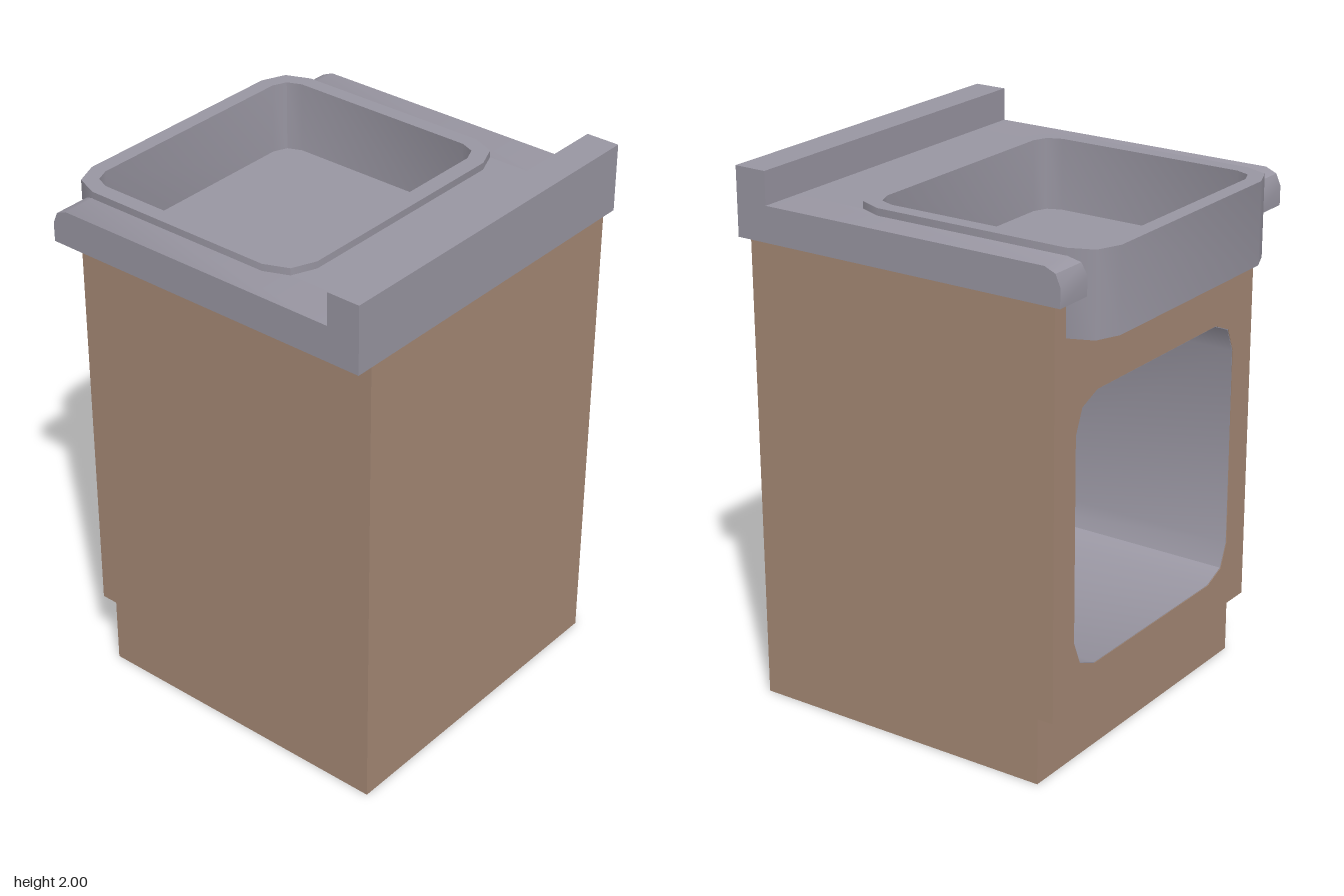
import * as THREE from 'three';
import { toCreasedNormals } from 'three/addons/utils/BufferGeometryUtils.js';

const wood = new THREE.MeshStandardMaterial({ color: 0xa88b77 });
wood.name = 'brown wood';
const steel = new THREE.MeshStandardMaterial({ color: 0x9b98a4 });
steel.name = 'grey steel';

// Rectangle with two-segment rounded corners, as a list of points
function roundedRect(x0, x1, y0, y1, r) {
  const corners = [[x1 - r, y1 - r], [x0 + r, y1 - r], [x0 + r, y0 + r], [x1 - r, y0 + r]];
  const points = [];
  corners.forEach(([cx, cy], i) => {
    for (let k = 0; k < 3; k++) {
      const a = (i + k / 2) * Math.PI / 2;
      points.push(new THREE.Vector2(cx + r * Math.cos(a), cy + r * Math.sin(a)));
    }
  });
  return points;
}

const polygon = (list) => new THREE.Shape(list.map(([x, y]) => new THREE.Vector2(x, y)));

function extrude(shape, depth) {
  return new THREE.ExtrudeGeometry(shape, { depth, bevelEnabled: false });
}

export function createModel() {
  const group = new THREE.Group();

  const add = (name, geometry, material) => {
    const mesh = new THREE.Mesh(toCreasedNormals(geometry, 0.6), material);
    mesh.name = name;
    group.add(mesh);
  };
  const addBox = (name, material, x0, x1, y0, y1, z0, z1) => {
    const g = new THREE.BoxGeometry(x1 - x0, y1 - y0, z1 - z0);
    g.translate((x0 + x1) / 2, (y0 + y1) / 2, (z0 + z1) / 2);
    add(name, g, material);
  };
  // Shape drawn in (z, y), extruded from x0 to x1
  const alongX = (shape, x0, x1) => extrude(shape, x1 - x0).rotateY(-Math.PI / 2).translate(x1, 0, 0);
  // Shape drawn in (x, z), extruded from y0 to y1
  const alongY = (shape, y0, y1) => extrude(shape, y1 - y0).rotateX(-Math.PI / 2).translate(0, y0, 0);

  const back = 0.6875, face = -0.5625, kick = -0.5, side = 0.625, wall = 0.02;
  const counterY = 1.75, basinY = 1.605;

  // Cabinet sides with toe-kick notch
  const sideShape = polygon([[kick, 0], [back, 0], [back, counterY], [face, counterY], [face, 0.25], [kick, 0.25]]);
  for (const z of [-side, side - wall]) {
    add('cabinetSide', extrude(sideShape, wall).translate(0, 0, z), wood);
  }
  const inner = side - wall;
  addBox('cabinetBack', wood, back - wall, back, 0, counterY, -inner, inner);
  addBox('cabinetBottom', wood, kick, back - wall, 0, wall, -inner, inner);
  addBox('toeKick', wood, kick, kick + wall, wall, 0.26, -inner, inner);
  addBox('cabinetLowerEdge', wood, face + 0.01, kick + wall, 0.25, 0.27, -inner, inner);

  // Open cabinet face, notched at the top for the basin
  const faceShape = polygon([
    [-inner, 0.25], [inner, 0.25], [inner, counterY], [0.55, counterY], [0.55, basinY + 0.01],
    [-0.55, basinY + 0.01], [-0.55, counterY], [-inner, counterY],
  ]);
  faceShape.holes.push(new THREE.Path(roundedRect(-0.5, 0.5, 0.375, 1.375, 0.125)));
  add('cabinetFace', alongX(faceShape, face, face + 0.01), wood);

  // Grey lined compartment
  const liner = new THREE.Shape(roundedRect(-0.52, 0.52, 0.355, 1.395, 0.14));
  liner.holes.push(new THREE.Path(roundedRect(-0.498, 0.498, 0.377, 1.373, 0.125)));
  add('compartmentLining', alongX(liner, face + 0.002, 0.56), steel);
  addBox('compartmentBack', steel, 0.56, 0.58, 0.355, 1.395, -0.52, 0.52);

  // Countertop: two end strips and a rear piece around the basin
  const rear = [[back, counterY], [back, 2], [0.5625, 2], [0.5625, 1.88]];
  const endShape = polygon([[-0.625, counterY], ...rear, [-0.565, 1.88], [-0.607, 1.862], [-0.625, 1.82]]);
  const rearShape = polygon([[0.276, counterY], ...rear, [0.276, 1.88]]);
  const split = 0.526, end = 0.6875;
  for (const z of [-end, split]) {
    add('counterEnd', extrude(endShape, end - split).translate(0, 0, z), steel);
  }
  add('counterRear', extrude(rearShape, split * 2).translate(0, 0, -split), steel);

  // Projecting basin
  const rim = roundedRect(-0.6875, 0.3125, -0.5625, 0.5625, 0.125);
  const rimShape = new THREE.Shape(rim);
  rimShape.holes.push(new THREE.Path(roundedRect(-0.63, 0.25, -0.505, 0.505, 0.075)));
  add('basinWall', alongY(rimShape, basinY, 1.906), steel);
  const floorShape = new THREE.Shape(roundedRect(-0.64, 0.26, -0.515, 0.515, 0.075));
  add('basinFloor', alongY(floorShape, basinY, 1.64), steel);

  return group;
}
